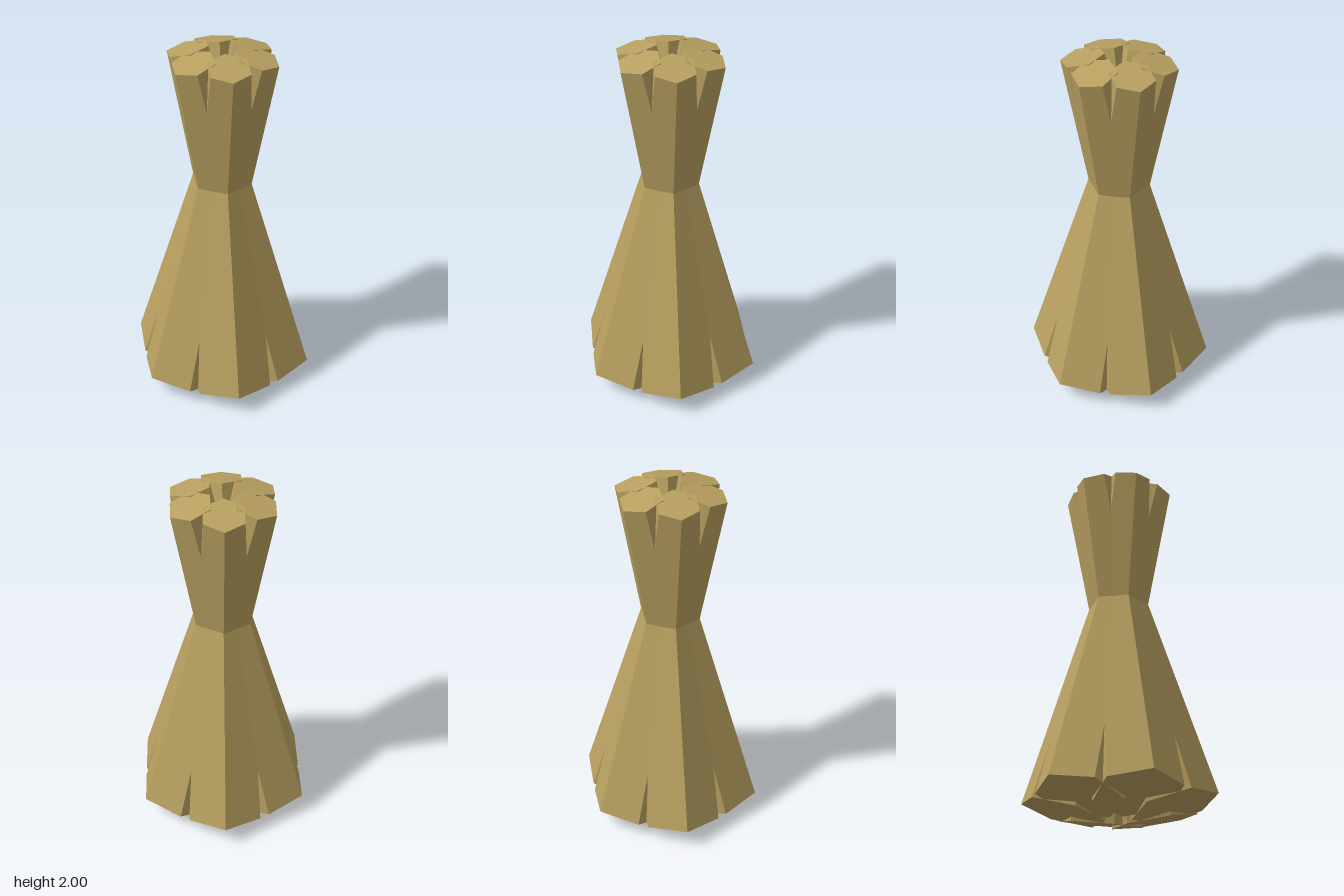
import * as THREE from 'three';

// A bundle of six tapered hexagonal stalks that lean through a common waist.
export function createModel() {
  const model = new THREE.Group();
  model.name = 'stalkBundle';

  const straw = new THREE.MeshStandardMaterial({ color: 0xb8a060, flatShading: true });
  straw.name = 'straw';

  const bottomRadius = 0.235, topRadius = 0.119;
  const bottom = new THREE.Vector2(0.297, 0.058); // centre of the foot
  const top = new THREE.Vector2(-0.19, 1.971);    // centre of the head, across the axis
  const axis = top.clone().sub(bottom);
  const lean = Math.atan2(-axis.x, axis.y);

  // Hexagonal stalk with a corner facing outward, leaning in the xy plane
  const stalk = new THREE.CylinderGeometry(topRadius, bottomRadius, axis.length(), 6);
  stalk.rotateY(Math.PI / 2);
  stalk.rotateZ(lean);
  stalk.translate((bottom.x + top.x) / 2, (bottom.y + top.y) / 2, 0);

  // Six copies around the vertical axis
  for (let i = 0; i < 6; i++) {
    const mesh = new THREE.Mesh(stalk, straw);
    mesh.name = `stalk${i + 1}`;
    mesh.rotation.y = (i * Math.PI) / 3;
    model.add(mesh);
  }
  return model;
}
